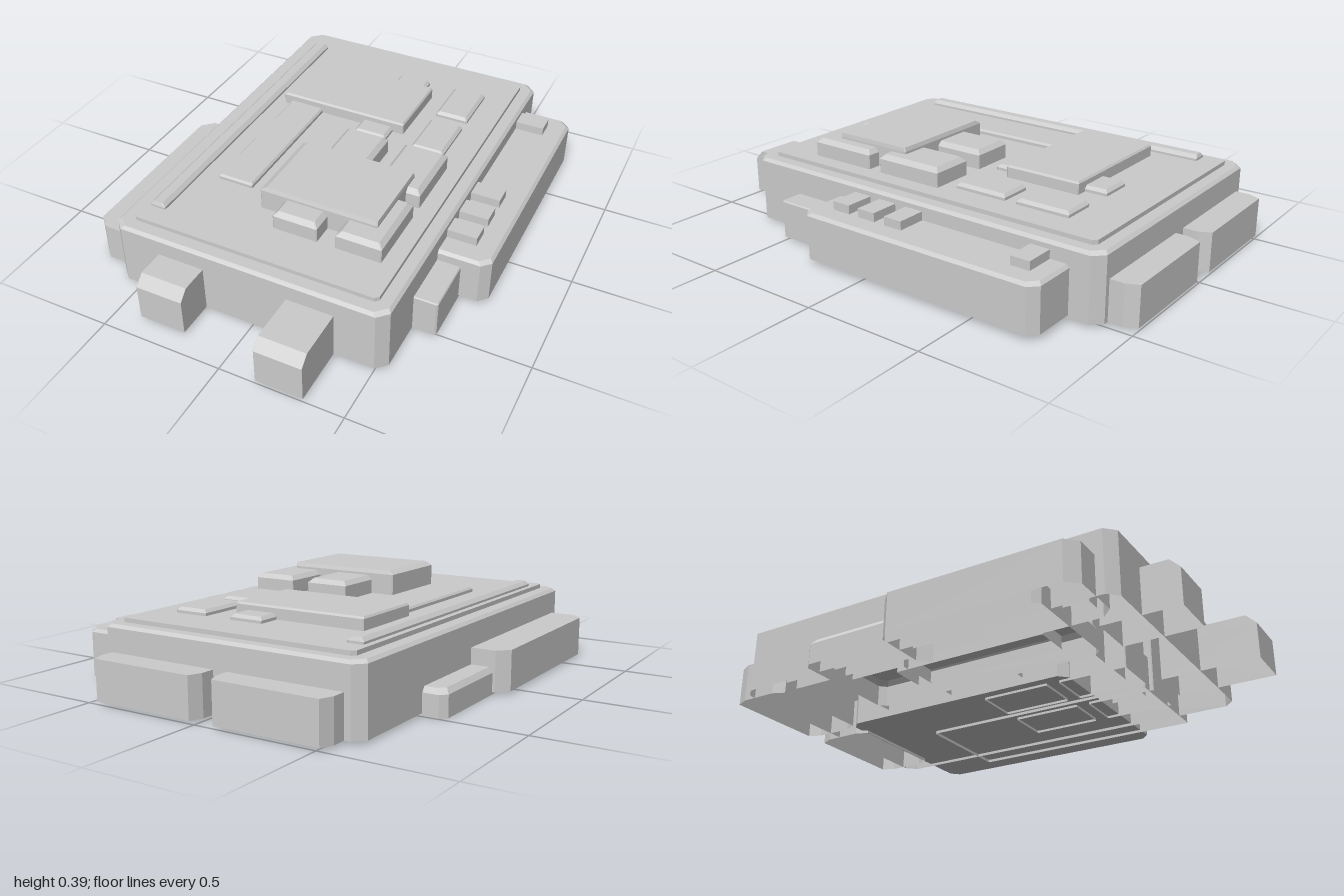
import * as THREE from 'three';

const material = new THREE.MeshStandardMaterial({ color: 0xcccccc, flatShading: true, side: THREE.DoubleSide });

export function createModel() {
  const model = new THREE.Group();

  // Shell block with cut corners in plan and a sloped top rim, open below unless closed.
  // x, y, z are [min, max]; inset is the rim's [left, right, back, front] slope width.
  function block(name, x, y, z, { cut = 0.004, cutZ = cut, inset = [0, 0, 0, 0], drop = 0.005, closed = false } = {}) {
    const ring = (h, [l, r, b, f]) => {
      const x0 = x[0] + l, x1 = x[1] - r, z0 = z[0] + b, z1 = z[1] - f;
      return [
        [x0 + cut, h, z1], [x1 - cut, h, z1], [x1, h, z1 - cutZ], [x1, h, z0 + cutZ],
        [x1 - cut, h, z0], [x0 + cut, h, z0], [x0, h, z0 + cutZ], [x0, h, z1 - cutZ],
      ];
    };
    const none = [0, 0, 0, 0];
    const rings = [ring(y[0], none), ring(y[1] - drop, none), ring(y[1], inset)];
    const pos = [];
    for (let r = 0; r < 2; r++) {
      for (let i = 0; i < 8; i++) {
        const j = (i + 1) % 8, a = rings[r], b = rings[r + 1];
        pos.push(...a[i], ...a[j], ...b[j], ...a[i], ...b[j], ...b[i]);
      }
    }
    for (let i = 1; i < 7; i++) {
      pos.push(...rings[2][0], ...rings[2][i], ...rings[2][i + 1]);
      if (closed) pos.push(...rings[0][0], ...rings[0][i + 1], ...rings[0][i]);
    }
    const geometry = new THREE.BufferGeometry();
    geometry.setAttribute('position', new THREE.Float32BufferAttribute(pos, 3));
    geometry.computeVertexNormals();
    const mesh = new THREE.Mesh(geometry, material);
    mesh.name = name;
    model.add(mesh);
  }

  const even = (d) => [d, d, d, d];

  // Main body and raised deck
  block('body', [-0.6, 0.54], [0.01, 0.275], [-0.893, 0.763], { cut: 0.04, inset: even(0.012), drop: 0.012 });
  block('deck', [-0.54, 0.483], [0.2, 0.292], [-0.838, 0.705], { cut: 0.015 });

  // Side platform with small blocks on it
  block('sidePlatform', [-0.07, 0.745], [0.022, 0.21], [-0.773, 0.29], { cut: 0.035, inset: even(0.012), drop: 0.012, closed: true });
  for (const z of [-0.655, -0.095, 0.035, 0.16]) {
    block('platformBlock', [0.54, 0.66], [0.2, 0.245], [z - 0.04, z + 0.04], { cut: 0.001 });
  }

  // Low steps on both sides
  block('sideStep', [0.185, 0.635], [0.01, 0.165], [-0.5, 0.515], { cut: 0.006, inset: even(0.004) });
  block('lowStep', [-0.69, -0.21], [0, 0.105], [-0.495, 0.52], { cut: 0.025, inset: even(0.015), drop: 0.02 });

  // Wing opposite the platform
  block('sideWing', [-0.745, -0.45], [0.01, 0.17], [-0.115, 0.69], { cut: 0.045 });

  // Pair of blocks at the back
  for (const x of [[-0.535, -0.06], [0, 0.48]]) {
    block('backBlock', x, [0.01, 0.17], [-1, -0.75], { cut: 0.022, cutZ: 0.05 });
  }

  // Front stubs with a sloped front edge
  for (const [x0, x1, z] of [[-0.393, -0.2, 0.915], [0.15, 0.34, 1]]) {
    block('frontStub', [x0, x1], [0.012, 0.2], [0.6, z], { cut: 0.001, inset: [0, 0, 0, 0.04], drop: 0.04 });
  }

  // Deck blocks in two columns: low ones behind, tall ones ahead
  for (const x of [-0.03, 0.23]) {
    for (const z of [[-0.66, -0.435], [-0.385, -0.16]]) {
      block('lowDeckBlock', [x, x + 0.142], [0.05, 0.315], z, { inset: even(0.012), drop: 0.012 });
    }
    for (const z of [[-0.105, 0.185], [0.24, 0.532]]) {
      block('tallDeckBlock', [x, x + 0.185], [0.012, 0.367], z, { inset: even(0.018), drop: 0.018 });
    }
  }

  // Large panels, strip and long rail
  block('backPanel', [-0.405, 0.16], [0.05, 0.342], [-0.567, -0.243], { inset: even(0.006), drop: 0.008 });
  block('frontPanel', [-0.13, 0.358], [0.05, 0.392], [0.1, 0.445], { inset: [0.026, 0.002, 0.006, 0.006], drop: 0.016 });
  block('strip', [-0.373, -0.22], [0.05, 0.312], [-0.3, 0.36], { inset: even(0.007), drop: 0.008 });
  block('rail', [-0.517, -0.45], [0.05, 0.315], [-0.747, 0.623], { inset: [0.015, 0.015, 0.006, 0.006], drop: 0.014 });

  return model;
}
